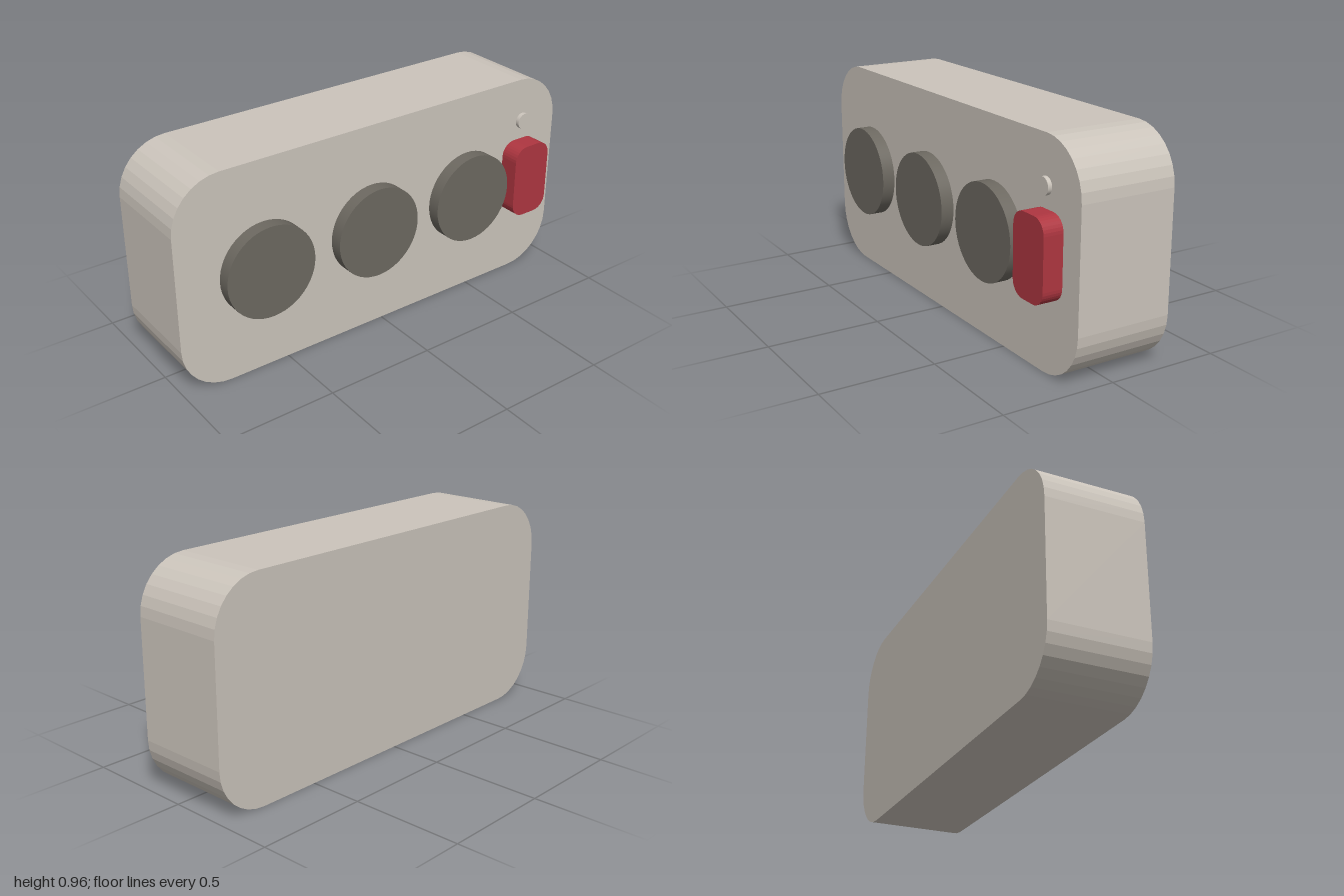
import * as THREE from 'three';

export function createModel() {
  const group = new THREE.Group();
  const material = (name, color) => {
    const m = new THREE.MeshStandardMaterial({ color });
    m.name = name;
    return m;
  };
  const casing = material('warm grey casing', 0xcbc4bb);
  const dark = material('dark grey knob', 0x6c6860);
  const red = material('red switch', 0xae3640);

  const add = (name, geometry, mat, x, y, z) => {
    const mesh = new THREE.Mesh(geometry, mat);
    mesh.name = name;
    mesh.position.set(x, y, z);
    group.add(mesh);
  };

  // Rounded slab with faceted corners, its back face at z = 0
  const slab = (w, h, r, depth) => {
    const x = w / 2 - r, y = h / 2 - r, q = Math.PI / 2;
    const shape = new THREE.Shape();
    [[x, y], [-x, y], [-x, -y], [x, -y]].forEach(([cx, cy], i) =>
      shape.absarc(cx, cy, r, i * q, (i + 1) * q, false));
    return new THREE.ExtrudeGeometry(shape, { depth, bevelEnabled: false, curveSegments: 4 });
  };

  // Disc facing +z
  const disc = (r, depth) =>
    new THREE.CylinderGeometry(r, r, depth, 48).rotateX(Math.PI / 2);

  // Casing
  add('body', slab(2, 0.96, 0.222, 0.433), casing, 0, 0.48, -0.26);

  // Three knobs standing just off the front
  [-0.61, -0.073, 0.453].forEach((x, i) =>
    add('knob' + (i + 1), disc(0.207, 0.058), dark, x, 0.493, 0.222));

  // Switch and small button above it
  add('switch', slab(0.2, 0.349, 0.065, 0.089), red, 0.795, 0.493, 0.173);
  add('button', disc(0.037, 0.018), casing, 0.793, 0.763, 0.191);

  return group;
}
